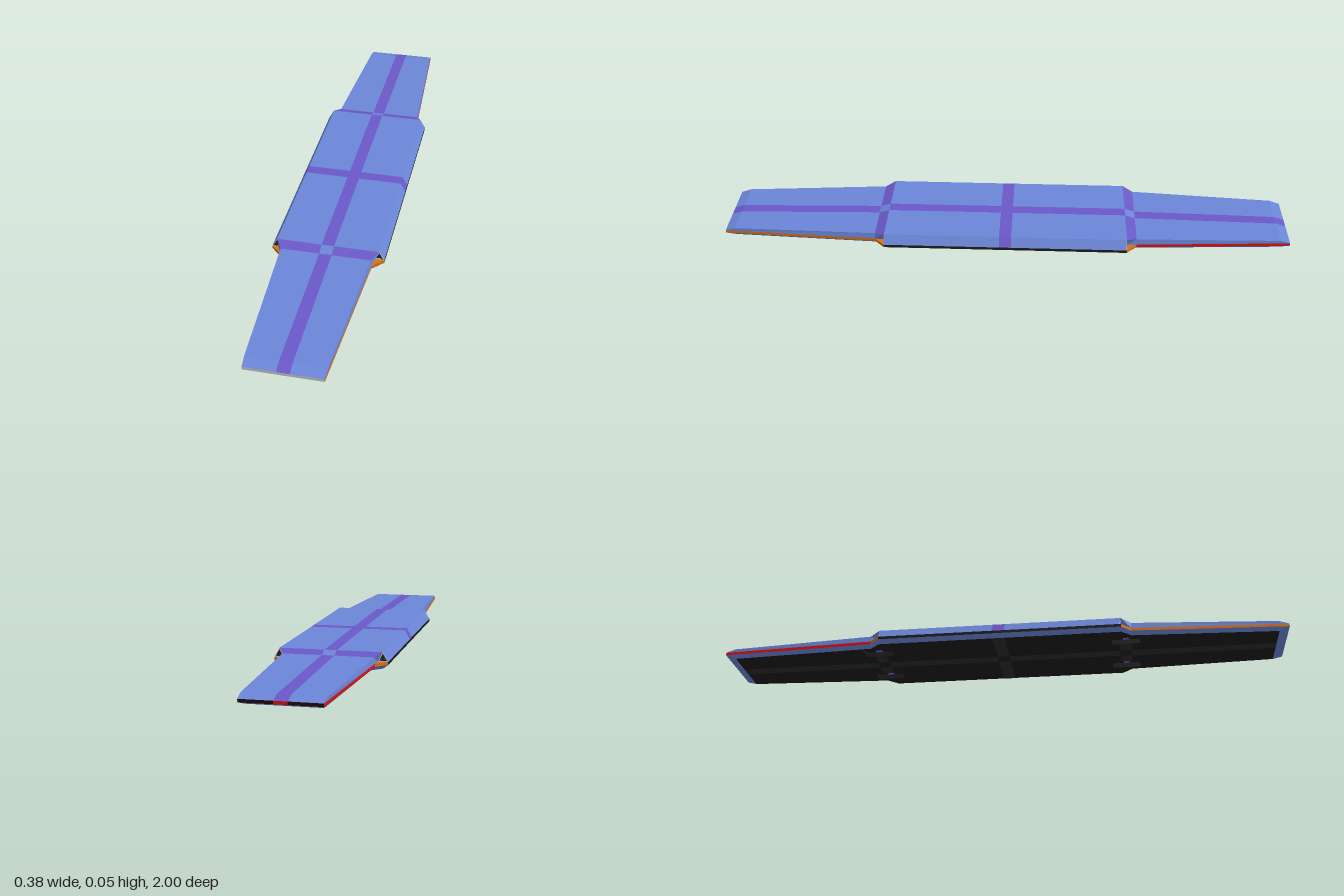
import * as THREE from 'three';

const BLUE = 0x6b86d8, PURPLE = 0x6a58c8, ORANGE = 0xd97014, RED = 0xe01010;
const DARK = 0x1c1c1c, STRIPE = 0x2c2c2c, GREY = 0xcccccc, MAROON = 0x240808;
const BELT_LOW = 0.012, BELT_TOP = 0.022, S = 0.021; // belt heights, stripe half width

// Half of the cross-sections: z, belt half width, deck half width, deck y,
// keel half width, keel y, foot of the upper wall
const half = [
  [1.0, 0.125, 0.125, 0.022, 0.125, 0.012, 0.125],
  [0.965, 0.127, 0.127, 0.033, 0.116, 0, 0.127],
  [0.46, 0.155, 0.152, 0.043, 0.142, 0, 0.155],
  [0.425, 0.191, 0.173, 0.054, 0.175, 0, 0.157],
  [S, 0.191, 0.173, 0.054, 0.175, 0, 0.157],
];
const stations = [...half, ...half.slice().reverse().map(([z, ...r]) => [-z, ...r])]
  .map(([z, belt, deck, deckY, keel, keelY, foot]) => ({ z, belt, deck, deckY, keel, keelY, foot }));

export function createModel() {
  const model = new THREE.Group();
  const parts = new Map();

  // Adds a four-cornered panel to a named part, turned to face the given direction
  function panel(name, color, corners, facing) {
    const [a, b, c, d] = corners.map((p) => new THREE.Vector3(...p));
    const normal = c.clone().sub(a).cross(d.clone().sub(b));
    const flip = normal.dot(new THREE.Vector3(...facing)) < 0;
    const order = flip ? [a, c, b, a, d, c] : [a, b, c, a, c, d];
    if (!parts.has(name)) parts.set(name, { color, points: [] });
    parts.get(name).points.push(...order);
  }

  function add(name, geometry, color, side = THREE.FrontSide) {
    const material = new THREE.MeshStandardMaterial({ color, side, flatShading: true });
    const mesh = new THREE.Mesh(geometry, material);
    mesh.name = name;
    model.add(mesh);
    return mesh;
  }

  for (let i = 0; i < stations.length - 1; i++) {
    const p = stations[i], q = stations[i + 1];
    const slope = i === 2 || i === 6, centre = i >= 3 && i <= 5;
    const crossBand = slope || i === 4;

    // Deck: a centre stripe, with cross bands that invert where they meet it
    const middle = slope ? BLUE : PURPLE;
    panel(middle === BLUE ? 'deck' : 'deckStripes', middle,
      [[-S, p.deckY, p.z], [S, p.deckY, p.z], [S, q.deckY, q.z], [-S, q.deckY, q.z]], [0, 1, 0]);

    for (const s of [-1, 1]) {
      const out = [s, 0, 0];
      const strip = (name, color, x0, y0, x1, y1, facing) => panel(name, color, [
        [s * x0(p), y0(p), p.z], [s * x1(p), y1(p), p.z],
        [s * x1(q), y1(q), q.z], [s * x0(q), y0(q), q.z]], facing);
      const low = () => BELT_LOW, top = () => BELT_TOP;
      const belt = (k) => k.belt, deck = (k) => k.deck, deckY = (k) => k.deckY;
      const foot = (k) => k.foot;

      strip(crossBand ? 'deckStripes' : 'deck', crossBand ? PURPLE : BLUE,
        () => S, deckY, deck, deckY, [0, 1, 0]);

      // Lower chamfer and the belt around the edge
      strip('lowerChamfer', BLUE, (k) => k.keel, (k) => k.keelY, belt, low, [s, -1, 0]);
      if (centre) strip('darkBelt', DARK, belt, low, belt, top, out);
      else if (i > 6) strip('rearBelt', RED, belt, low, belt, top, out);
      else strip('frontBelt', ORANGE, belt, low, belt, top, out);

      if (centre) {
        // Sloping outer wall, with a triangular tunnel behind it
        const banded = i === 4;
        strip(banded ? 'deckStripes' : 'sideWalls', banded ? PURPLE : BLUE, belt, top, deck, deckY, [s, 1, 0]);
        const inB = () => 0.187, inA = () => 0.162, inY = () => 0.0255;
        const inD = () => 0.1735, inT = () => 0.049;
        strip('tunnelLining', DARK, inB, inY, inD, inT, [-s, -1, 0]);
        strip('tunnelLining', DARK, inA, inY, inD, inT, out);
        strip('tunnelLining', DARK, inA, inY, inB, inY, [0, 1, 0]);
      } else {
        strip('sideWalls', BLUE, foot, top, deck, deckY, out);
        if (slope) strip('ledges', ORANGE, foot, top, belt, top, [0, 1, 0]);
      }
    }
  }

  // Blunt ends: a pale strip in front, a dark one with a lamp behind
  const end = (name, color, x0, x1, z) => panel(name, color,
    [[x0, BELT_LOW, z], [x1, BELT_LOW, z], [x1, BELT_TOP, z], [x0, BELT_TOP, z]], [0, 0, z]);
  end('frontEnd', GREY, -0.125, 0.125, 1);
  end('rearEnd', MAROON, -0.125, -S, -1);
  end('rearEnd', MAROON, S, 0.125, -1);
  end('rearLamp', RED, -S, S, -1);

  // Chamfers below the two ends
  for (const s of [-1, 1]) {
    panel('lowerChamfer', BLUE, [[-0.125, BELT_LOW, s], [0.125, BELT_LOW, s],
      [0.116, 0, s * 0.965], [-0.116, 0, s * 0.965]], [0, -1, s]);
  }

  // Stripes on the underside
  const under = (x0, x1, z0, z1) => panel('undersideStripes', STRIPE,
    [[x0, -0.0006, z0], [x1, -0.0006, z0], [x1, -0.0006, z1], [x0, -0.0006, z1]], [0, -1, 0]);
  for (const s of [-1, 1]) {
    under(-S, S, s * S, s * 0.42);
    under(-S, S, s * 0.46, s * 0.965);
    under(s * S, s * 0.175, -S, S);
    under(s * S, s * 0.075, s * 0.42, s * 0.46);
    under(s * S, s * 0.075, -s * 0.42, -s * 0.46);
  }

  for (const [name, { color, points }] of parts) {
    const geometry = new THREE.BufferGeometry().setFromPoints(points);
    geometry.computeVertexNormals();
    add(name, geometry, color);
  }

  // Underside plate with four recessed bays, each holding a small light
  const keel = stations.slice(1, -1);
  const outline = new THREE.Shape([
    ...keel.map((k) => new THREE.Vector2(k.keel, k.z)),
    ...keel.slice().reverse().map((k) => new THREE.Vector2(-k.keel, k.z)),
  ]);
  for (const x of [-0.1, 0.1]) {
    for (const z of [-0.44, 0.44]) {
      const w = 0.025, l = 0.05;
      outline.holes.push(new THREE.Path([[x - w, z - l], [x + w, z - l], [x + w, z + l], [x - w, z + l]]
        .map((c) => new THREE.Vector2(...c))));
      for (const [dx, dz, sx, sz] of [[w, 0, 0.001, 2 * l], [-w, 0, 0.001, 2 * l],
        [0, l, 2 * w, 0.001], [0, -l, 2 * w, 0.001]]) {
        add('bayWall', new THREE.BoxGeometry(sx, 0.018, sz), DARK).position.set(x + dx, 0.009, z + dz);
      }
      add('bayRoof', new THREE.BoxGeometry(2 * w, 0.001, 2 * l), DARK).position.set(x, 0.018, z);
      add('bayLight', new THREE.BoxGeometry(0.012, 0.01, 0.02), PURPLE).position.set(x, 0.012, z);
    }
  }
  add('underside', new THREE.ShapeGeometry(outline).rotateX(Math.PI / 2), DARK);

  // Thin triangular frames at the tunnel mouths
  for (const s of [-1, 1]) {
    const tri = (pts) => pts.map(([x, y]) => new THREE.Vector2(s * x, y));
    const frame = new THREE.Shape(tri([[0.157, 0.022], [0.191, 0.022], [0.173, 0.054]]));
    frame.holes.push(new THREE.Path(tri([[0.162, 0.0255], [0.187, 0.0255], [0.1735, 0.049]])));
    for (const z of [-0.425, 0.421]) {
      add('tunnelFrame', new THREE.ExtrudeGeometry(frame, { depth: 0.004, bevelEnabled: false }), GREY)
        .position.z = z;
    }
  }
  return model;
}
